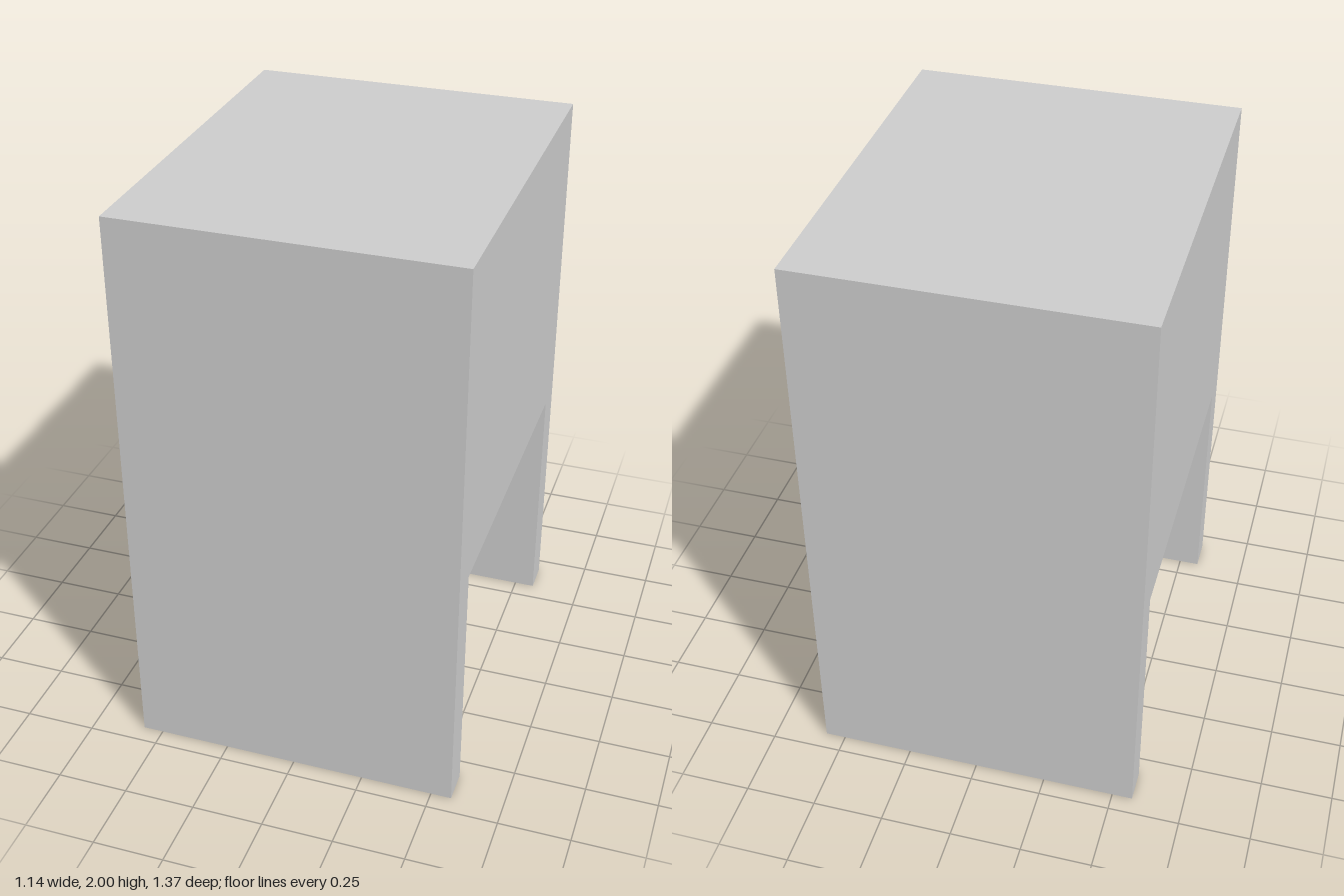
import * as THREE from 'three';

const WIDTH = 1.143;        // along x
const HALF_DEPTH = 0.686;   // along z
const HEIGHT = 2;
const OPENING_HALF = 0.572; // half the gap between the legs
const OPENING_HEIGHT = 0.86;

export function createModel() {
  const group = new THREE.Group();
  group.name = 'archBlock';

  // Side profile: a solid block standing on two slab legs
  const profile = new THREE.Shape([
    [-HALF_DEPTH, 0], [-OPENING_HALF, 0],
    [-OPENING_HALF, OPENING_HEIGHT], [OPENING_HALF, OPENING_HEIGHT],
    [OPENING_HALF, 0], [HALF_DEPTH, 0],
    [HALF_DEPTH, HEIGHT], [-HALF_DEPTH, HEIGHT],
  ].map(([z, y]) => new THREE.Vector2(z, y)));

  // Extrude across the width and turn the profile to face sideways
  const geometry = new THREE.ExtrudeGeometry(profile, { depth: WIDTH, bevelEnabled: false });
  geometry.translate(0, 0, -WIDTH / 2);
  geometry.rotateY(Math.PI / 2);

  const body = new THREE.Mesh(
    geometry,
    new THREE.MeshStandardMaterial({ color: 0xcccccc, flatShading: true }),
  );
  body.name = 'blockWithLegs';
  group.add(body);
  return group;
}
